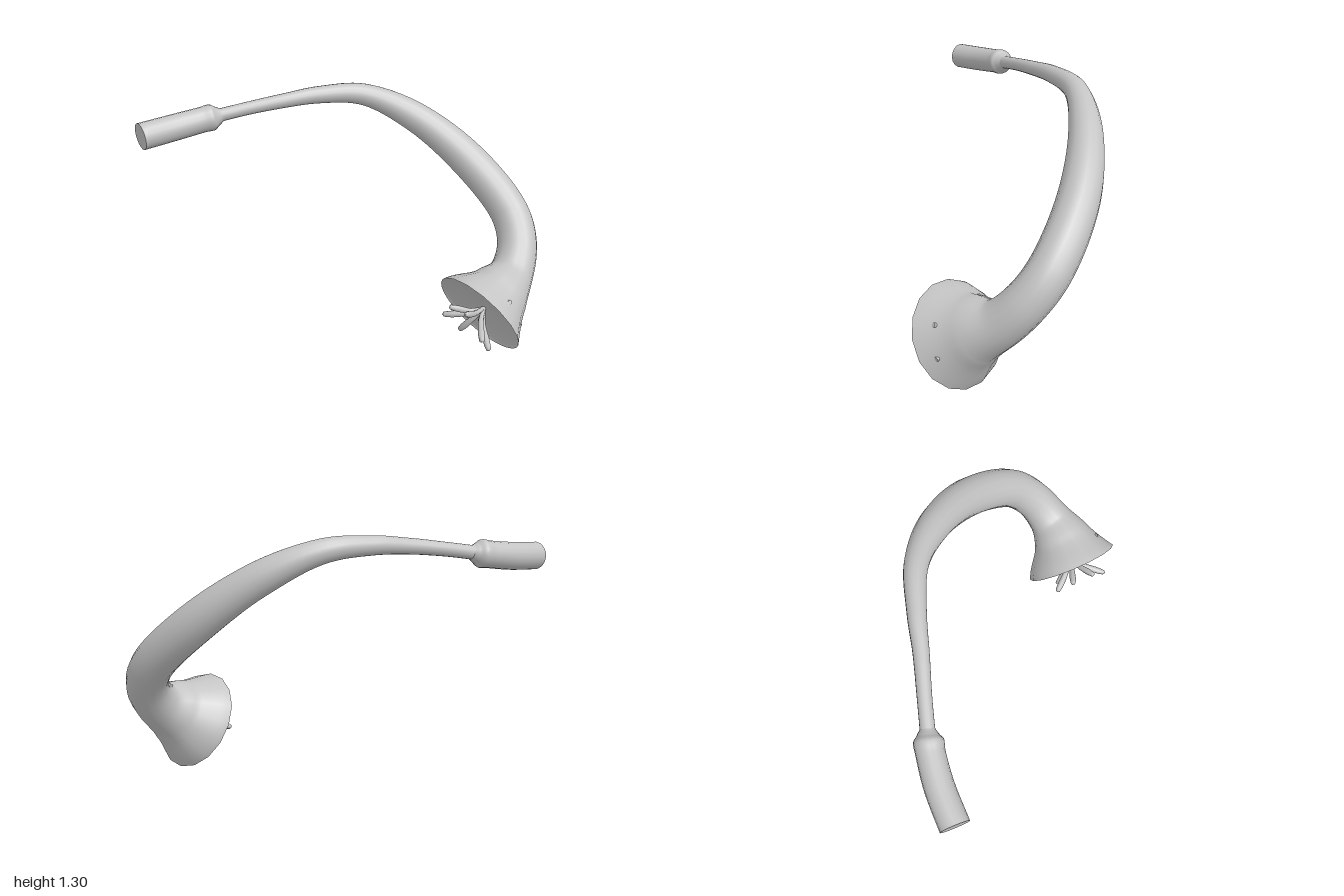
import * as THREE from 'three';

const SIDES = 16;
const V = (x, y, z) => new THREE.Vector3(x, y, z);

// Smooth tube through sections [x, y, z, radius], with an untwisted frame
function loft(sections, steps, sides = SIDES) {
  const path = new THREE.CatmullRomCurve3(sections.map((s) => V(s[0], s[1], s[2])));
  const radii = new THREE.CatmullRomCurve3(sections.map((s) => V(s[3], 0, 0)), false, 'catmullrom', 0.4);
  const pos = [], index = [];
  const normal = V(0, 0, 1);
  for (let i = 0; i <= steps; i++) {
    const t = i / steps;
    const p = path.getPoint(t), tan = path.getTangent(t), r = Math.max(radii.getPoint(t).x, 0.0005);
    normal.addScaledVector(tan, -normal.dot(tan)).normalize();
    const side = tan.clone().cross(normal);
    for (let j = 0; j < sides; j++) {
      const a = (j / sides) * Math.PI * 2;
      const q = p.clone().addScaledVector(normal, r * Math.cos(a)).addScaledVector(side, r * Math.sin(a));
      pos.push(q.x, q.y, q.z);
      if (i < steps) {
        const k = (j + 1) % sides, b = i * sides, c = b + sides;
        index.push(b + j, b + k, c + j, b + k, c + k, c + j);
      }
    }
  }
  const g = new THREE.BufferGeometry();
  g.setAttribute('position', new THREE.Float32BufferAttribute(pos, 3));
  g.setIndex(index);
  g.computeVertexNormals();
  g.userData.endTangent = path.getTangent(1);
  return g;
}

export function createModel() {
  const group = new THREE.Group();
  const grey = new THREE.MeshStandardMaterial({ color: 0xc4c4c4 });
  grey.name = 'lightGrey';
  const add = (name, geometry) => {
    const mesh = new THREE.Mesh(geometry, grey);
    mesh.name = name;
    group.add(mesh);
    return mesh;
  };

  // Curved body that thickens, then flares into the bell-shaped head
  const rim = V(0.565, 0.235, 0.37);
  const bodyGeometry = loft([
    [-0.58, 1.185, -0.563, 0.035], [-0.4, 1.213, -0.55, 0.035], [-0.2, 1.238, -0.533, 0.039],
    [0, 1.252, -0.523, 0.047], [0.25, 1.235, -0.49, 0.06], [0.51, 1.11, -0.37, 0.084],
    [0.75, 0.89, -0.17, 0.102], [0.89, 0.65, 0.07, 0.106], [0.88, 0.51, 0.19, 0.108],
    [0.805, 0.39, 0.275, 0.12], [0.7, 0.318, 0.33, 0.17], [rim.x, rim.y, rim.z, 0.265],
  ], 88);
  add('bodyAndBell', bodyGeometry);

  // Shallow hollow mouth closing the bell
  const axis = bodyGeometry.userData.endTangent;
  const mouth = add('mouth', new THREE.LatheGeometry(
    [[0.265, 0], [0.25, -0.012], [0.15, -0.035], [0, -0.045]].map((p) => new THREE.Vector2(...p)), SIDES * 2));
  mouth.position.copy(rim);
  mouth.quaternion.setFromUnitVectors(V(0, 1, 0), axis);

  // Thicker sleeve at the tail, with a flat end
  const tailEnd = V(-0.985, 1.14, -0.51);
  const sleeve = loft([
    [-0.54, 1.193, -0.559, 0.034], [-0.565, 1.187, -0.562, 0.05], [-0.595, 1.182, -0.564, 0.07],
    [-0.65, 1.174, -0.564, 0.068], [-0.8, 1.155, -0.55, 0.07], [tailEnd.x, tailEnd.y, tailEnd.z, 0.071],
  ], 40);
  add('tailSleeve', sleeve);
  const cap = add('tailCap', new THREE.CircleGeometry(0.071, SIDES * 2));
  cap.position.copy(tailEnd);
  cap.quaternion.setFromUnitVectors(V(0, 0, 1), sleeve.userData.endTangent);

  // Feelers spreading from the mouth: [angle in degrees, spread, reach]
  const across = V(0, 0, 1).addScaledVector(axis, -axis.z).normalize();
  const down = across.clone().cross(axis).normalize();
  if (down.y > 0) down.negate();
  const feelers = [[-60, 0.16, 0.1], [0, 0.16, 0.14], [45, 0.17, 0.12], [95, 0.15, 0.05],
    [145, 0.15, 0.1], [200, 0.16, 0.12], [250, 0.15, 0.1]];
  for (const [degrees, spread, reach] of feelers) {
    const a = THREE.MathUtils.degToRad(degrees);
    const out = across.clone().multiplyScalar(Math.cos(a)).addScaledVector(down, Math.sin(a));
    const at = (s, n, r) => {
      const p = rim.clone().addScaledVector(out, spread * s).addScaledVector(axis, n);
      return [p.x, p.y, p.z, r];
    };
    add('feeler', loft([at(0, -0.04, 0.01), at(0.3, reach * 0.25, 0.014), at(0.7, reach * 0.7, 0.018),
      at(0.96, reach * 0.96, 0.013), at(1, reach, 0.001)], 12, 8));
  }

  // Two small round eyes on the side of the bell
  for (const p of [V(0.645, 0.37, 0.53), V(0.705, 0.23, 0.55)]) {
    const out = p.clone().sub(rim);
    out.addScaledVector(axis, -out.dot(axis)).normalize();
    const eye = add('eye', new THREE.CylinderGeometry(0.012, 0.012, 0.05, 12));
    eye.position.copy(p).addScaledVector(out, -0.018);
    eye.quaternion.setFromUnitVectors(V(0, 1, 0), out);
  }
  return group;
}
